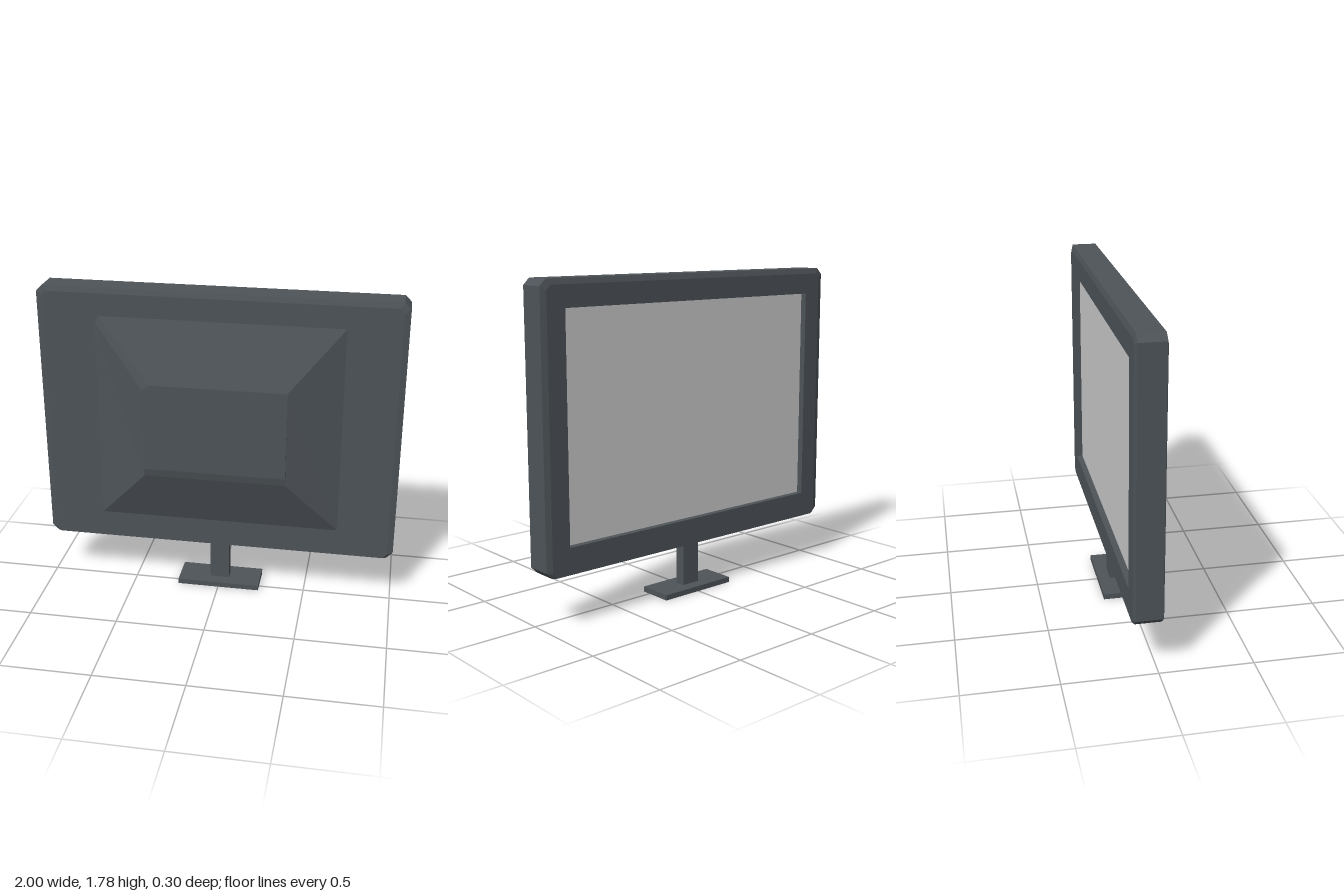
import * as THREE from 'three';

const dark = new THREE.MeshStandardMaterial({ color: 0x4d5358, flatShading: true });
const grey = new THREE.MeshStandardMaterial({ color: 0xcccccc, flatShading: true });

// Skin between rings of [x, y, z] points (counter-clockwise seen from +z), optional cap on the last ring
function loft(rings, cap) {
  const pos = [];
  const tri = (...pts) => pts.forEach((p) => pos.push(...p));
  for (let r = 0; r < rings.length - 1; r++) {
    const a = rings[r], b = rings[r + 1], n = a.length;
    for (let i = 0; i < n; i++) {
      const j = (i + 1) % n;
      tri(a[i], a[j], b[j]);
      tri(a[i], b[j], b[i]);
    }
  }
  if (cap) {
    const last = rings[rings.length - 1];
    for (let i = 1; i < last.length - 1; i++) tri(last[0], last[i], last[i + 1]);
  }
  const geo = new THREE.BufferGeometry();
  geo.setAttribute('position', new THREE.Float32BufferAttribute(pos, 3));
  geo.computeVertexNormals();
  return geo;
}

// Rectangle with cut corners, as 2D points
const cutRect = (w, y0, y1, c) => [
  [w, y1 - c], [w - c, y1], [-w + c, y1], [-w, y1 - c],
  [-w, y0 + c], [-w + c, y0], [w - c, y0], [w, y0 + c],
];
const rect = (w, y0, y1) => [[w, y1], [-w, y1], [-w, y0], [w, y0]];
const atZ = (pts, z) => pts.map(([x, y]) => [x, y, z]);
const toPath = (pts) => pts.map(([x, y]) => new THREE.Vector2(x, y));

export function createModel() {
  const group = new THREE.Group();
  const add = (name, geo, mat, x = 0, y = 0, z = 0) => {
    const mesh = new THREE.Mesh(geo, mat);
    mesh.name = name;
    mesh.position.set(x, y, z);
    group.add(mesh);
    return mesh;
  };

  // Casing: cut corners, with top and side edges bevelled and a square bottom edge
  const outer = cutRect(1, 0.28, 1.78, 0.035);
  const inner = cutRect(0.968, 0.28, 1.75, 0.025);
  add('casing', loft([atZ(inner, -0.13), atZ(outer, -0.12), atZ(outer, 0.02), atZ(inner, 0.03)], true), dark);

  // Frame around the display opening
  const opening = rect(0.86, 0.425, 1.635);
  const frame = new THREE.Shape(toPath(inner));
  frame.holes.push(new THREE.Path(toPath(opening)));
  add('screenFrame', new THREE.ShapeGeometry(frame), dark, 0, 0, -0.13).rotation.y = Math.PI;
  add('frameRecess', loft([atZ(opening, -0.095), atZ(opening, -0.13)], false), dark);

  // Display panel set back in the frame
  add('screen', new THREE.PlaneGeometry(1.72, 1.21), grey, 0, 1.03, -0.095).rotation.y = Math.PI;

  // Tapered housing with one cut corner and a narrow sloped strip along its lower edge
  const foot = [[0.68, 1.625], [-0.655, 1.625], [-0.68, 1.59], [-0.68, 0.435], [0.68, 0.435]];
  const crown = atZ([[0.39, 1.29], [-0.36, 1.29], [-0.4, 1.26]], 0.15);
  add('housing', loft([
    atZ(foot, 0.03),
    [...crown, [-0.4, 0.745, 0.14], [0.39, 0.745, 0.14]],
    [...crown, [-0.4, 0.79, 0.15], [0.39, 0.79, 0.15]],
  ], true), dark);

  // Stand
  add('neck', new THREE.BoxGeometry(0.11, 0.26, 0.06), dark, 0, 0.155, -0.05);
  add('base', new THREE.BoxGeometry(0.475, 0.03, 0.195), dark, 0, 0.015, -0.05);

  return group;
}
